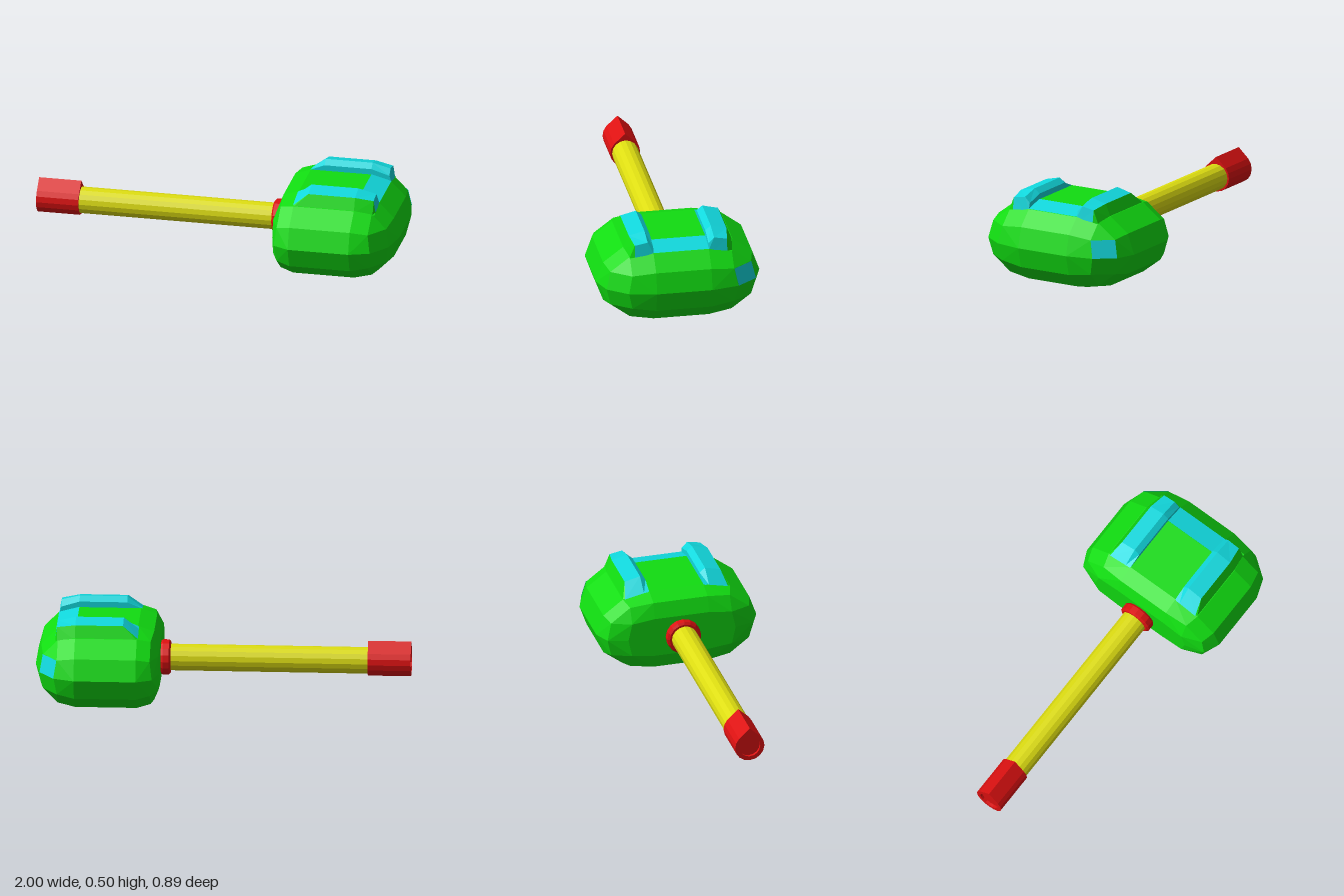
import * as THREE from 'three';
import { ConvexGeometry } from 'three/addons/geometries/ConvexGeometry.js';

const mat = (color) => new THREE.MeshStandardMaterial({ color, flatShading: true, side: THREE.DoubleSide });
const AXIS_Y = 0.225;

// Point on the bevelled head: unit direction (u, v, w) pushed out from a flat core
function headPoint(u, v, w, sx, sz) {
  const x = sx > 0 ? 0.78 + 0.217 * u : 0.45 - Math.min(0.115, 0.17 * u);
  return new THREE.Vector3(x, AXIS_Y + 0.221 * v, sz * (0.15 + 0.293 * w));
}

// Surface lofted through equal-length sections; flip reverses the winding
function loft(sections, flip) {
  const n = sections[0].length, index = [];
  for (let i = 0; i < sections.length - 1; i++) {
    for (let j = 0; j < n - 1; j++) {
      const a = i * n + j, b = a + 1, c = a + n, d = c + 1;
      index.push(...(flip ? [a, b, c, b, d, c] : [a, c, b, b, c, d]));
    }
  }
  const geo = new THREE.BufferGeometry();
  geo.setAttribute('position', new THREE.Float32BufferAttribute(sections.flat(2), 3));
  geo.setIndex(index);
  geo.computeVertexNormals();
  return geo;
}

export function createModel() {
  const group = new THREE.Group();
  const green = mat(0x11dd11), teal = mat(0x11d8dd), red = mat(0xdd1111), yellow = mat(0xdddd11);
  const add = (name, geo, material) => {
    const mesh = new THREE.Mesh(geo, material);
    mesh.name = name;
    group.add(mesh);
    return mesh;
  };

  // Head: rounded block whose corners are three-step bevels
  const C = Math.cos(Math.PI / 6);
  const dirs = [
    [1, 0, 0], [0, 1, 0], [0, 0, 1],
    [C, 0.5, 0], [0.5, C, 0], [C, 0, 0.5], [0.5, 0, C], [0, C, 0.5], [0, 0.5, C],
    [0.79, 0.43, 0.43], [0.43, 0.79, 0.43], [0.43, 0.43, 0.79],
  ];
  const points = new Map();
  for (const sx of [1, -1]) for (const sy of [1, -1]) for (const sz of [1, -1]) {
    for (const [u, v, w] of dirs) {
      const p = headPoint(u, v * sy, w, sx, sz);
      points.set(p.toArray().map((n) => n.toFixed(4)).join(), p);
    }
  }
  add('head', new ConvexGeometry([...points.values()]), green);

  // Coloured facets lying on the head
  const facet = (name, corners) => {
    const [a, b, c, d] = corners;
    const normal = b.clone().sub(a).cross(d.clone().sub(a)).normalize().multiplyScalar(0.002);
    const p = [a, b, c, d].map((v) => v.clone().add(normal).toArray());
    add(name, loft([[p[0], p[1]], [p[3], p[2]]], true), teal);
  };
  facet('sideFacet', [
    headPoint(C, 0, 0.5, 1, -1), headPoint(0.5, 0, C, 1, -1),
    headPoint(0.43, 0.43, 0.79, 1, -1), headPoint(0.79, 0.43, 0.43, 1, -1),
  ]);
  facet('topFacet', [
    headPoint(0, 1, 0, 1, -1), headPoint(0, 1, 0, 1, 1),
    headPoint(0.5, C, 0, 1, 1), headPoint(0.5, C, 0, 1, -1),
  ]);

  // Two raised rails; each section is inner base, chamfer, crest, outer crest, outer base as [z, y]
  const full = [[0.15, 0.43], [0.15, 0.477], [0.18, 0.502], [0.265, 0.481], [0.297, 0.408]];
  const rail = [
    [0.445, [[0.15, 0.43], [0.15, 0.444], [0.18, 0.44], [0.285, 0.417], [0.297, 0.408]]],
    [0.525, full],
    [0.78, full],
    [0.878, [[0.15, 0.4], [0.15, 0.447], [0.18, 0.478], [0.25, 0.465], [0.278, 0.395]]],
    [0.888, [[0.15, 0.4], [0.15, 0.412], [0.18, 0.408], [0.25, 0.4], [0.278, 0.395]]],
  ];
  for (const side of [1, -1]) {
    const rows = rail.map(([x, sec]) => sec.map(([z, y]) => [x, y, z * side]));
    const label = side > 0 ? 'front' : 'back';
    add(label + 'RailTop', loft(rows.map((r) => r.slice(0, 4)), side > 0), teal);
    add(label + 'RailOuterSide', loft(rows.map((r) => r.slice(3)), side > 0), green);
  }

  // Handle shaft
  const shaft = add('handle', new THREE.CylinderGeometry(0.071, 0.071, 1.27, 16), yellow);
  shaft.geometry.rotateZ(Math.PI / 2);
  shaft.position.set(-0.325, AXIS_Y, 0);

  // Collar between handle and head
  const ring = [[0, 0.283], [0.082, 0.283], [0.094, 0.292], [0.094, 0.325], [0.085, 0.34], [0, 0.34]];
  const collar = add('collar',
    new THREE.LatheGeometry(ring.map(([r, x]) => new THREE.Vector2(r, x)), 16), red);
  collar.geometry.rotateZ(-Math.PI / 2);
  collar.position.y = AXIS_Y;

  // Pommel: sleeve with a ridge on top and a recessed end
  const outline = new THREE.Shape();
  outline.moveTo(0, 0.11);
  for (let i = 0; i <= 12; i++) {
    const a = THREE.MathUtils.degToRad(137 + (266 / 12) * i);
    outline.lineTo(0.081 * Math.cos(a), 0.081 * Math.sin(a));
  }
  outline.closePath();
  const bore = new THREE.Path();
  bore.absarc(0, 0, 0.058, 0, Math.PI * 2, true);
  outline.holes.push(bore);
  const pommel = add('pommel',
    new THREE.ExtrudeGeometry(outline, { depth: 0.23, bevelEnabled: false, curveSegments: 8 }), red);
  pommel.geometry.rotateY(Math.PI / 2);
  pommel.position.set(-1, AXIS_Y, 0);

  // Plug closing the recess
  const plug = add('pommelPlug', new THREE.CylinderGeometry(0.059, 0.059, 0.02, 16), red);
  plug.geometry.rotateZ(Math.PI / 2);
  plug.position.set(-0.975, AXIS_Y, 0);

  return group;
}
